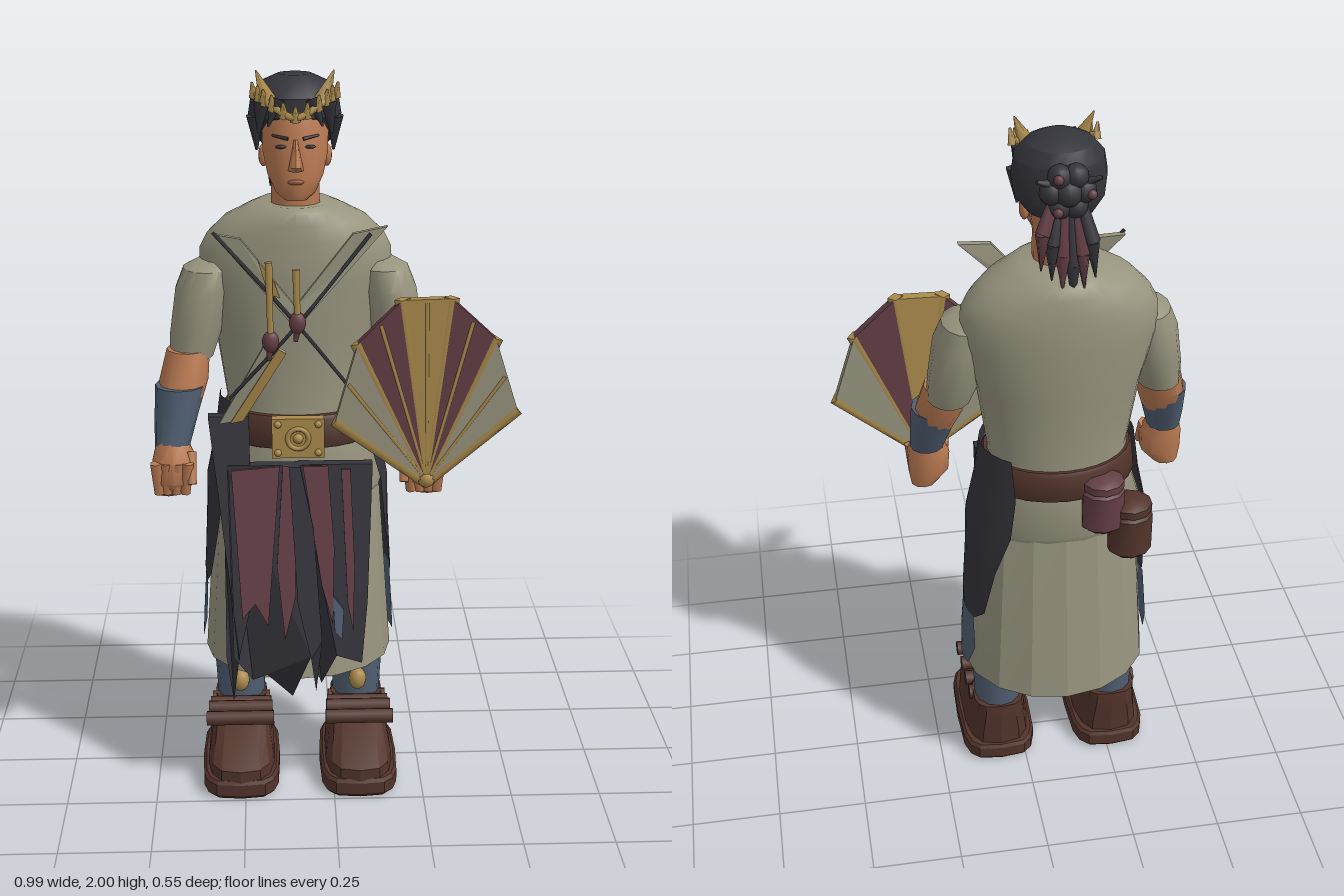
import * as THREE from 'three';
import { toCreasedNormals } from 'three/addons/utils/BufferGeometryUtils.js';

const paint = (name, color) => {
  const m = new THREE.MeshStandardMaterial({ color, side: THREE.DoubleSide });
  m.name = name;
  return m;
};

export function createModel() {
  const linen = paint('linen', 0x97947e), skin = paint('skin', 0xba7a52), dark = paint('charcoal', 0x34343b);
  const blue = paint('slate blue', 0x505f72), brown = paint('leather', 0x52342b), maroon = paint('maroon', 0x633e45);
  const gold = paint('gold', 0xab8b4c), lip = paint('lip', 0x94573f);

  const model = new THREE.Group();
  const body = new THREE.Group();
  body.name = 'body';
  body.position.x = -0.095;
  model.add(body);
  let target = body;

  const add = (name, mat, geo, pos = [0, 0, 0]) => {
    const mesh = new THREE.Mesh(geo, mat);
    mesh.name = name;
    mesh.position.set(...pos);
    target.add(mesh);
    return mesh;
  };

  // Rings, lowest first: [y, cx, cz, rx, rz, startAngle, endAngle]; angle 0 is the front
  const loft = (name, mat, rings, n = 16, { crease = 0.7, square = 1 } = {}) => {
    const open = rings[0].length > 5, pos = [], index = [];
    const bend = v => Math.sign(v) * Math.abs(v) ** square;
    for (const [y, cx, cz, rx, rz, a0 = 0, a1 = Math.PI * 2] of rings)
      for (let k = 0; k <= n; k++) {
        const a = a0 + (a1 - a0) * k / n;
        pos.push(cx + rx * bend(Math.sin(a)), y, cz + rz * bend(Math.cos(a)));
      }
    for (let r = 0; r < rings.length - 1; r++)
      for (let k = 0; k < n; k++) {
        const a = r * (n + 1) + k, b = a + n + 1;
        index.push(a, a + 1, b + 1, a, b + 1, b);
      }
    if (!open) {
      const top = (rings.length - 1) * (n + 1), c = pos.length / 3;
      for (const r of [rings[0], rings.at(-1)]) pos.push(r[1], r[0], r[2]);
      for (let k = 0; k < n; k++) index.push(c, k + 1, k, c + 1, top + k, top + k + 1);
    }
    const g = new THREE.BufferGeometry();
    g.setAttribute('position', new THREE.Float32BufferAttribute(pos, 3));
    g.setIndex(index);
    return add(name, mat, toCreasedNormals(g, crease));
  };

  // Outline plate whose depth follows a rule
  const plate = (name, mat, pts, zAt, depth = 0.008) => {
    const g = new THREE.ExtrudeGeometry(new THREE.Shape(pts.map(p => new THREE.Vector2(...p))), { depth, bevelEnabled: false });
    const p = g.attributes.position;
    for (let i = 0; i < p.count; i++) p.setZ(i, p.getZ(i) + zAt(p.getX(i), p.getY(i)));
    g.computeVertexNormals();
    return add(name, mat, g);
  };

  // Tapered rod from a to b
  const rod = (name, mat, a, b, r0, r1, n = 6) => {
    const A = new THREE.Vector3(...a), B = new THREE.Vector3(...b), d = B.clone().sub(A);
    const mesh = add(name, mat, new THREE.CylinderGeometry(r1, r0, d.length(), n), A.clone().add(B).multiplyScalar(0.5).toArray());
    mesh.quaternion.setFromUnitVectors(new THREE.Vector3(0, 1, 0), d.normalize());
  };
  const ball = (name, mat, pos, r, scale = [1, 1, 1]) =>
    add(name, mat, new THREE.SphereGeometry(r, 12, 8), pos).scale.set(...scale);
  const box = (name, mat, size, pos) => add(name, mat, new THREE.BoxGeometry(...size), pos);

  // Torso and skirt
  loft('tunic', linen, [[0.85, 0, -0.04, 0.232, 0.162], [0.88, 0, -0.045, 0.24, 0.172], [1.0, 0, -0.045, 0.205, 0.155], [1.1, 0, -0.05, 0.19, 0.145],
    [1.3, 0, -0.055, 0.22, 0.153], [1.45, 0, -0.055, 0.26, 0.159], [1.52, 0, -0.055, 0.258, 0.156], [1.56, 0, -0.055, 0.238, 0.152],
    [1.605, 0, -0.052, 0.192, 0.146], [1.635, 0, -0.05, 0.13, 0.137], [1.648, 0, -0.05, 0.098, 0.12]], 28);
  loft('skirt', linen, [[0.35, 0, -0.037, 0.264, 0.232], [0.85, 0, -0.045, 0.23, 0.165], [1.05, 0, -0.045, 0.19, 0.14]], 16, { crease: 0.2 });
  loft('belt', brown, [[1.0, 0, -0.045, 0.21, 0.165], [1.01, 0, -0.045, 0.215, 0.17], [1.08, 0, -0.045, 0.207, 0.166], [1.09, 0, -0.045, 0.2, 0.16]], 24);

  // Buckle
  box('buckle', gold, [0.14, 0.11, 0.03], [0, 1.045, 0.145]);
  add('buckleRing', gold, new THREE.TorusGeometry(0.028, 0.007, 6, 16), [0, 1.045, 0.163]);
  ball('buckleBoss', gold, [0, 1.045, 0.16], 0.014);
  for (const x of [-0.054, 0.054]) for (const y of [1.005, 1.085]) ball('buckleStud', gold, [x, y, 0.16], 0.01);

  // Front cloth: thick folds hang forward, then tuck back at the tips
  const hang = off => (x, y) => off + (y > 0.45 ? 0.15 + 0.19 * (0.97 - y) : 0.249 - 0.5 * (0.45 - y));
  const cloth = [
    [dark, -0.025, 0.033, [[-0.24, 1.1], [-0.2, 0.75], [-0.2, 0.45], [-0.185, 0.27], [-0.165, 0.45], [-0.13, 0.6], [-0.13, 1.1]]],
    [dark, -0.02, 0.032, [[-0.19, 0.97], [-0.18, 0.45], [-0.13, 0.36], [-0.09, 0.38], [-0.02, 0.29], [0.03, 0.45], [0.03, 0.97]]],
    [dark, -0.025, 0.033, [[0.0, 0.97], [0.03, 0.45], [0.06, 0.34], [0.1, 0.45], [0.17, 0.42], [0.185, 0.6], [0.2, 0.97]]],
    [maroon, 0.014, 0.008, [[-0.18, 0.96], [-0.155, 0.56], [-0.12, 0.6], [-0.085, 0.54], [-0.05, 0.97]]],
    [maroon, 0.012, 0.008, [[-0.042, 0.97], [-0.06, 0.7], [-0.04, 0.5], [-0.01, 0.62], [-0.012, 0.97]]],
    [dark, 0.01, 0.02, [[-0.025, 0.97], [-0.005, 0.6], [0.03, 0.45], [0.045, 0.32], [0.06, 0.5], [0.04, 0.8], [0.005, 0.97]]],
    [maroon, 0.014, 0.008, [[0.012, 0.97], [0.06, 0.65], [0.09, 0.54], [0.095, 0.75], [0.08, 0.97]]],
    [maroon, 0.012, 0.008, [[0.115, 0.96], [0.13, 0.6], [0.145, 0.52], [0.15, 0.7], [0.14, 0.96]]],
    [blue, 0.012, 0.008, [[0.09, 0.62], [0.095, 0.52], [0.115, 0.5], [0.12, 0.58]]],
  ];
  for (const [mat, off, depth, pts] of cloth) plate('frontCloth', mat, pts, hang(off), depth);

  // Pouches on the back of the belt
  const pouch = (mat, x, y, z, r, h) => {
    loft('pouch', mat, [[y - h, x, z, r * 0.7, r * 0.6], [y - h * 0.8, x, z, r, r * 0.9], [y + h * 0.45, x, z, r, r * 0.9], [y + h * 0.6, x, z, r * 0.75, r * 0.7]], 10);
    loft('pouchLid', mat, [[y + h * 0.6, x, z, r * 0.95, r * 0.9], [y + h * 0.85, x, z, r * 0.95, r * 0.9], [y + h, x, z, r * 0.6, r * 0.6]], 10);
  };
  pouch(brown, -0.18, 0.885, -0.187, 0.062, 0.09);
  pouch(maroon, -0.1, 0.98, -0.195, 0.06, 0.085);

  // Limbs, mirrored
  for (const s of [1, -1]) {
    const limb = (name, mat, rings, n, o) => loft(name, mat, rings.map(([y, x, ...r]) => [y, x * s, ...r]), n, o);
    limb('sleeve', linen, [[1.235, 0.285, 0.0, 0.06, 0.075], [1.3, 0.272, -0.01, 0.07, 0.09], [1.42, 0.25, -0.015, 0.075, 0.097],
      [1.475, 0.235, -0.02, 0.068, 0.085], [1.495, 0.22, -0.025, 0.045, 0.055]], 14);
    limb('forearm', skin, [[1.1, 0.32, 0.075, 0.055, 0.055], [1.18, 0.305, 0.043, 0.066, 0.072], [1.26, 0.292, 0.02, 0.058, 0.065]], 12);
    limb('bracer', blue, [[1.01, 0.338, 0.108, 0.047, 0.048], [1.08, 0.328, 0.085, 0.057, 0.062], [1.17, 0.314, 0.058, 0.068, 0.074]], 12);
    limb('hand', skin, [[0.88, 0.35, 0.115, 0.035, 0.032], [0.92, 0.335, 0.122, 0.058, 0.052], [0.98, 0.333, 0.122, 0.061, 0.053], [1.03, 0.338, 0.11, 0.042, 0.042]], 10);
    for (let i = 0; i < 4; i++) rod('finger', skin, [s * (0.296 + i * 0.028), 0.98, 0.16], [s * (0.305 + i * 0.023), 0.89, 0.15], 0.017, 0.014);
    rod('thumb', skin, [s * 0.29, 1.0, 0.13], [s * 0.285, 0.92, 0.165], 0.018, 0.013);

    // Side drapes, the left one reaching further back
    const drape = (mat, trim, rows) => loft('sideDrape', mat, rows.map(([y, rx, rz, a, b]) =>
      [y, 0, -0.045, rx * s, rz, a - trim / 3, b - trim]), 8);
    const trim = s > 0 ? 0 : 0.65;
    drape(dark, trim, [[0.56, 0.264, 0.214, 1.6, 1.95], [0.6, 0.264, 0.212, 1.4, 2.15], [0.75, 0.256, 0.196, 1.25, 2.3],
      [0.88, 0.252, 0.188, 1.15, 2.5], [1.0, 0.227, 0.18, 1.05, 2.5], [1.115, 0.212, 0.165, 0.95, 2.4]]);
    drape(blue, trim / 2, [[0.38, 0.274, 0.24, 1.6, 1.85], [0.46, 0.27, 0.23, 1.4, 2.0], [0.6, 0.261, 0.209, 1.45, 1.9]]);

    // Legs, shin ornaments and boots
    const x = 0.168;
    limb('leg', blue, [[0.12, x, -0.045, 0.065, 0.07], [0.25, x, -0.045, 0.07, 0.072], [0.42, x, -0.045, 0.08, 0.08]], 12);
    ball('shinOrnament', gold, [s * x, 0.27, 0.04], 0.03, [0.85, 1.1, 0.9]);
    limb('sole', brown, [[0, x, 0.055, 0.1, 0.185], [0.01, x, 0.055, 0.11, 0.193], [0.045, x, 0.055, 0.11, 0.193], [0.055, x, 0.055, 0.102, 0.187]], 16, { square: 0.5, crease: 0.4 });
    limb('boot', brown, [[0.05, x, 0.06, 0.096, 0.185], [0.085, x, 0.06, 0.093, 0.185], [0.13, x, 0.02, 0.084, 0.145], [0.165, x, -0.025, 0.078, 0.1], [0.2, x, -0.045, 0.074, 0.077]], 14, { square: 0.65, crease: 0.3 });
    [[0.15, 0.207], [0.083, 0.205], [0.03, 0.192], [-0.023, 0.182]].forEach(([z, y], i) => {
      const half = 0.095 - i * 0.004;
      rod('bootStrap', brown, [s * x - half, y, z], [s * x + half, y, z], 0.021, 0.021, 8);
    });

    // Paired features of the head
    ball('ear', skin, [s * 0.083, 1.775, -0.005], 0.03, [0.45, 1, 0.7]);
    ball('eye', dark, [s * 0.038, 1.812, 0.092], 0.011, [1.3, 0.45, 0.5]);
    rod('brow', dark, [s * 0.02, 1.833, 0.098], [s * 0.06, 1.84, 0.08], 0.005, 0.003);
    rod('sideLock', dark, [s * 0.105, 1.88, 0.01], [s * 0.1, 1.79, 0.0], 0.024, 0.004);
    rod('templeLock', dark, [s * 0.085, 1.92, 0.045], [s * 0.095, 1.84, 0.045], 0.025, 0.004);
    rod('fringe', dark, [s * 0.045, 1.93, 0.068], [s * 0.07, 1.862, 0.082], 0.022, 0.003);
    rod('crownHorn', gold, [s * 0.07, 1.925, 0.055], [s * 0.1, 2.0, 0.045], 0.024, 0.002, 5);
  }

  // Neck, head and hair
  loft('neck', skin, [[1.62, 0, -0.025, 0.066, 0.068], [1.72, 0, -0.025, 0.066, 0.066], [1.82, 0, -0.03, 0.082, 0.087]], 14);
  loft('head', skin, [[1.672, 0, 0.07, 0.03, 0.025], [1.69, 0, 0.055, 0.052, 0.048], [1.735, 0, 0.035, 0.074, 0.07],
    [1.79, 0, 0.012, 0.086, 0.086], [1.85, 0, 0.0, 0.088, 0.095], [1.91, 0, -0.01, 0.08, 0.085]], 18, { crease: 1 });
  loft('nose', skin, [[1.752, 0, 0.1, 0.02, 0.026], [1.764, 0, 0.105, 0.018, 0.034], [1.8, 0, 0.095, 0.01, 0.02], [1.83, 0, 0.085, 0.007, 0.015]], 8);
  ball('lips', lip, [0, 1.722, 0.1], 0.022, [1, 0.35, 0.4]);
  loft('hair', dark, [[1.795, 0, -0.06, 0.085, 0.06], [1.83, 0, -0.045, 0.114, 0.085], [1.88, 0, -0.027, 0.122, 0.107],
    [1.93, 0, -0.025, 0.114, 0.105], [1.965, 0, -0.03, 0.085, 0.08], [1.983, 0, -0.03, 0.045, 0.045]], 16, { crease: 0.5 });

  // Bun and hanging ribbons
  for (let i = 0; i < 6; i++) {
    const a = i * Math.PI / 3;
    ball('bunCoil', dark, [0.04 * Math.cos(a), 1.88 + 0.045 * Math.sin(a), -0.14], 0.032);
    if (i % 2) ball('bunBead', maroon, [0.055 * Math.cos(a), 1.88 + 0.05 * Math.sin(a), -0.166], 0.013);
  }
  ball('bunCentre', dark, [0, 1.88, -0.148], 0.036);
  for (const x of [-0.08, 0.08]) rod('hairPin', dark, [x * 0.4, 1.9, -0.14], [x, 1.92, -0.16], 0.014, 0.005);
  [-0.06, -0.035, -0.01, 0.015, 0.04, 0.065].forEach((x, i) => {
    const y = 1.6 + 0.03 * Math.abs(i - 2);
    rod('ribbon', i % 2 ? maroon : dark, [x * 0.5, 1.86, -0.135], [x, y + 0.09, -0.165], 0.014, 0.02, 5);
    rod('ribbonTip', i % 2 ? maroon : dark, [x, y + 0.09, -0.165], [x * 1.1, y, -0.18], 0.02, 0.002, 5);
  });

  // Crown band with leaves
  const band = new THREE.CatmullRomCurve3([[-0.105, 1.94, 0.035], [-0.07, 1.92, 0.07], [0, 1.885, 0.092], [0.07, 1.92, 0.07], [0.105, 1.94, 0.035]]
    .map(p => new THREE.Vector3(...p)));
  add('crownBand', gold, new THREE.TubeGeometry(band, 20, 0.01, 6));
  for (let i = 0; i <= 10; i++) {
    const p = band.getPoint(i / 10);
    rod('crownLeaf', gold, [p.x, p.y - 0.01, p.z], [p.x * 1.05, p.y + 0.03, p.z + 0.012], 0.013, 0.003, 4);
  }

  // Crossed blades, cords and tasselled pins on the chest
  const chest = off => x => 0.175 + off - 0.2 * Math.abs(x);
  plate('bladeUpperLeft', linen, [[0.235, 1.615], [0.145, 1.6], [-0.02, 1.395], [0.005, 1.365]], chest(0), 0.018);
  plate('bladeLowerRight', linen, [[-0.08, 1.32], [-0.03, 1.29], [-0.145, 1.1], [-0.21, 1.085]], chest(0), 0.018);
  plate('bladeEdge', gold, [[-0.05, 1.302], [-0.03, 1.29], [-0.145, 1.1], [-0.18, 1.09]], chest(0.016));
  plate('bladeUpperRight', linen, [[-0.215, 1.6], [-0.145, 1.59], [0.02, 1.385], [-0.01, 1.365]], chest(0.006), 0.018);
  plate('bladeGilding', gold, [[-0.1, 1.535], [-0.06, 1.485], [-0.045, 1.44], [-0.075, 1.45]], chest(0.02));
  for (const [a, b] of [[[-0.215, 1.605], [0.13, 1.2]], [[0.19, 1.6], [-0.18, 1.16]]]) {
    const pts = [a, [0, 1.37], b].map(([x, y]) => new THREE.Vector3(x, y, chest(0.024)(x)));
    add('cord', dark, new THREE.TubeGeometry(new THREE.CatmullRomCurve3(pts), 10, 0.005, 5));
  }
  for (const [x, y0, y1] of [[-0.07, 1.33, 1.535], [0, 1.38, 1.515]]) {
    rod('pin', gold, [x, y0, 0.2], [x - 0.003, y1, 0.195], 0.009, 0.011);
    ball('tassel', maroon, [x, y0 - 0.005, 0.197], 0.025, [0.9, 1.2, 0.8]);
    rod('tasselEnd', maroon, [x, y0 - 0.01, 0.197], [x - 0.005, y0 - 0.055, 0.197], 0.014, 0.006);
  }

  // Folding fan in the left hand
  target = new THREE.Group();
  target.name = 'fan';
  target.position.set(0.246, 0.94, 0.18);
  model.add(target);
  const tips = [[-0.243, 0.17], [-0.185, 0.38], [-0.07, 0.495], [0.058, 0.498], [0.175, 0.39], [0.237, 0.195]];
  [linen, maroon, gold, maroon, linen].forEach((mat, i) => {
    const [a, b] = [tips[i], tips[i + 1]];
    plate('fanPanel', mat, [[0, 0], b, a], () => 0, 0.028);
    rod('fanFold', gold, [0, 0, 0.024], [(a[0] + b[0]) * 0.49, (a[1] + b[1]) * 0.49, 0.024], 0.007, 0.009, 4);
  });
  for (const [x, y] of tips) rod('fanRib', gold, [0, -0.01, 0.014], [x, y, 0.014], 0.017, 0.021, 4);
  ball('fanPivot', gold, [0, 0, 0.015], 0.024);

  return model;
}
